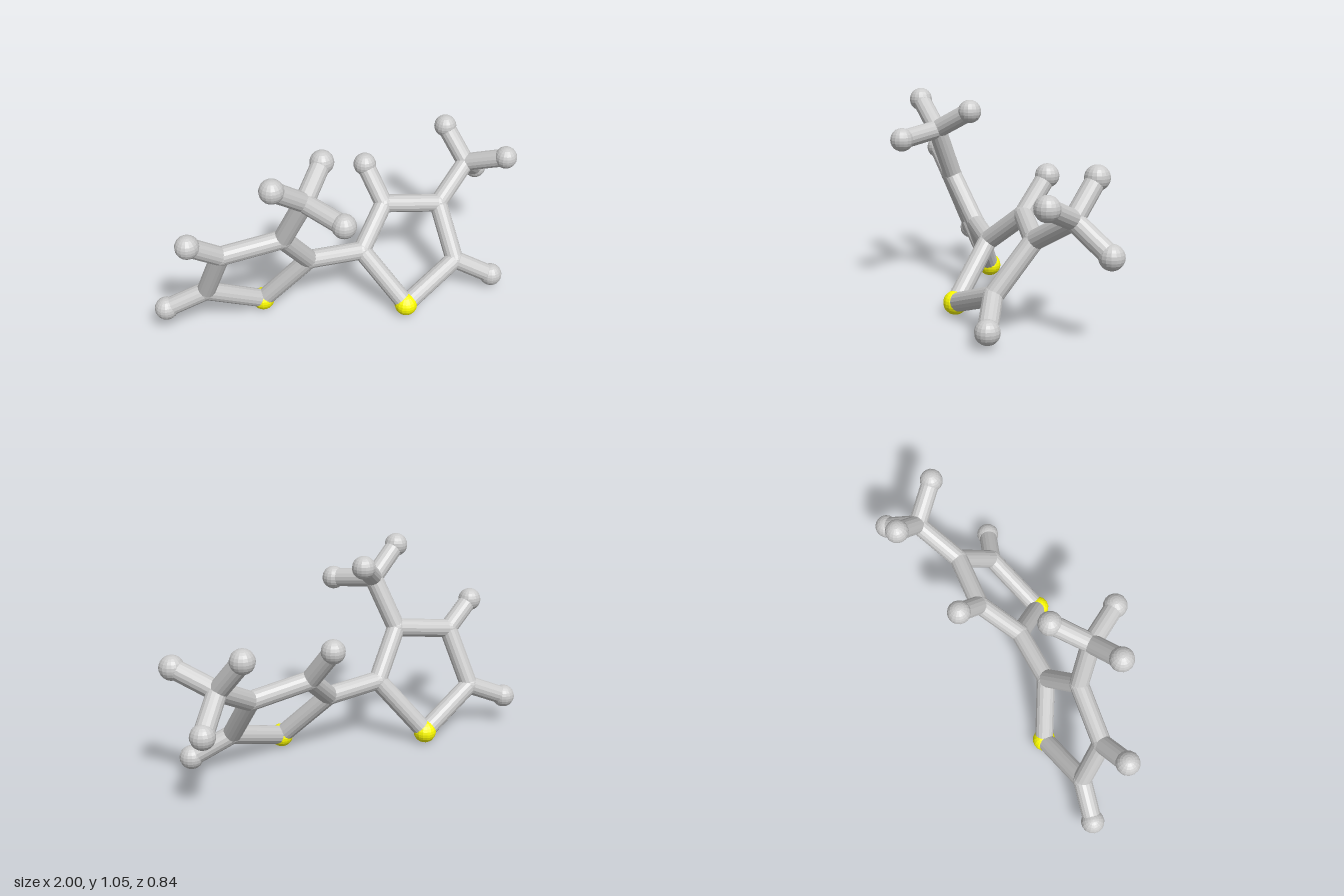
import * as THREE from 'three';

const BALL = 0.06, JOINT = 0.05, ROD = 0.048;

// Each ring: root joins the bridge, tip is the yellow ball, caps are end balls.
const halves = {
  right: {
    root: [-0.21, 0.35, -0.035], upper: [-0.38, 0.585, 0.05], outer: [-0.685, 0.54, 0.0],
    lower: [-0.74, 0.245, -0.13], tip: [-0.425, 0.061, -0.168], branch: [-0.3, 0.845, 0.152],
    branchOn: 'upper',
    caps: [['outer', [-0.85, 0.668, 0.033]], ['lower', [-0.94, 0.157, -0.183]],
      ['branch', [-0.475, 0.987, 0.202]], ['branch', [-0.15, 0.952, 0.013]], ['branch', [-0.185, 0.813, 0.36]]],
  },
  left: {
    root: [0.08, 0.325, -0.025], upper: [0.265, 0.49, -0.155], outer: [0.57, 0.435, -0.115],
    lower: [0.58, 0.187, 0.082], tip: [0.245, 0.065, 0.182], branch: [0.79, 0.572, -0.228],
    branchOn: 'outer',
    caps: [['upper', [0.215, 0.67, -0.29]], ['lower', [0.768, 0.08, 0.157]],
      ['branch', [0.725, 0.745, -0.36]], ['branch', [0.935, 0.661, -0.06]], ['branch', [0.93, 0.43, -0.357]]],
  },
};

export function createModel() {
  const model = new THREE.Group();
  model.name = 'ballAndStickModel';
  const grey = new THREE.MeshStandardMaterial({ color: 0xcccccc, flatShading: true });
  const yellow = new THREE.MeshStandardMaterial({ color: 0xffff00, flatShading: true });
  const ballGeometry = new THREE.SphereGeometry(1, 16, 12);
  const rodGeometry = new THREE.CylinderGeometry(ROD, ROD, 1, 16);
  const up = new THREE.Vector3(0, 1, 0);

  function ball(parent, name, p, radius, material = grey) {
    const mesh = new THREE.Mesh(ballGeometry, material);
    mesh.name = name;
    mesh.position.set(...p);
    mesh.scale.setScalar(radius);
    parent.add(mesh);
  }

  // Rod stretched between two points
  function rod(parent, name, p, q) {
    const a = new THREE.Vector3(...p), b = new THREE.Vector3(...q);
    const mesh = new THREE.Mesh(rodGeometry, grey);
    mesh.name = name;
    mesh.position.copy(a).add(b).multiplyScalar(0.5);
    mesh.scale.y = a.distanceTo(b);
    mesh.quaternion.setFromUnitVectors(up, b.sub(a).normalize());
    parent.add(mesh);
  }

  for (const [side, h] of Object.entries(halves)) {
    const group = new THREE.Group();
    group.name = side + 'Half';

    // Five-sided ring with a yellow ball at its lowest corner
    const ring = ['root', 'upper', 'outer', 'lower', 'tip'];
    ring.forEach((key, i) => {
      rod(group, 'ringRod', h[key], h[ring[(i + 1) % 5]]);
      if (key !== 'tip') ball(group, 'ringJoint', h[key], JOINT);
    });
    ball(group, 'yellowBall', h.tip, BALL, yellow);

    // Branch carrying three end balls
    rod(group, 'branchRod', h[h.branchOn], h.branch);
    ball(group, 'branchJoint', h.branch, JOINT);

    // End balls on their short rods
    for (const [from, p] of h.caps) {
      rod(group, 'endRod', h[from], p);
      ball(group, 'endBall', p, BALL);
    }
    model.add(group);
  }

  // Bridge between the two rings
  rod(model, 'bridgeRod', halves.right.root, halves.left.root);
  return model;
}
